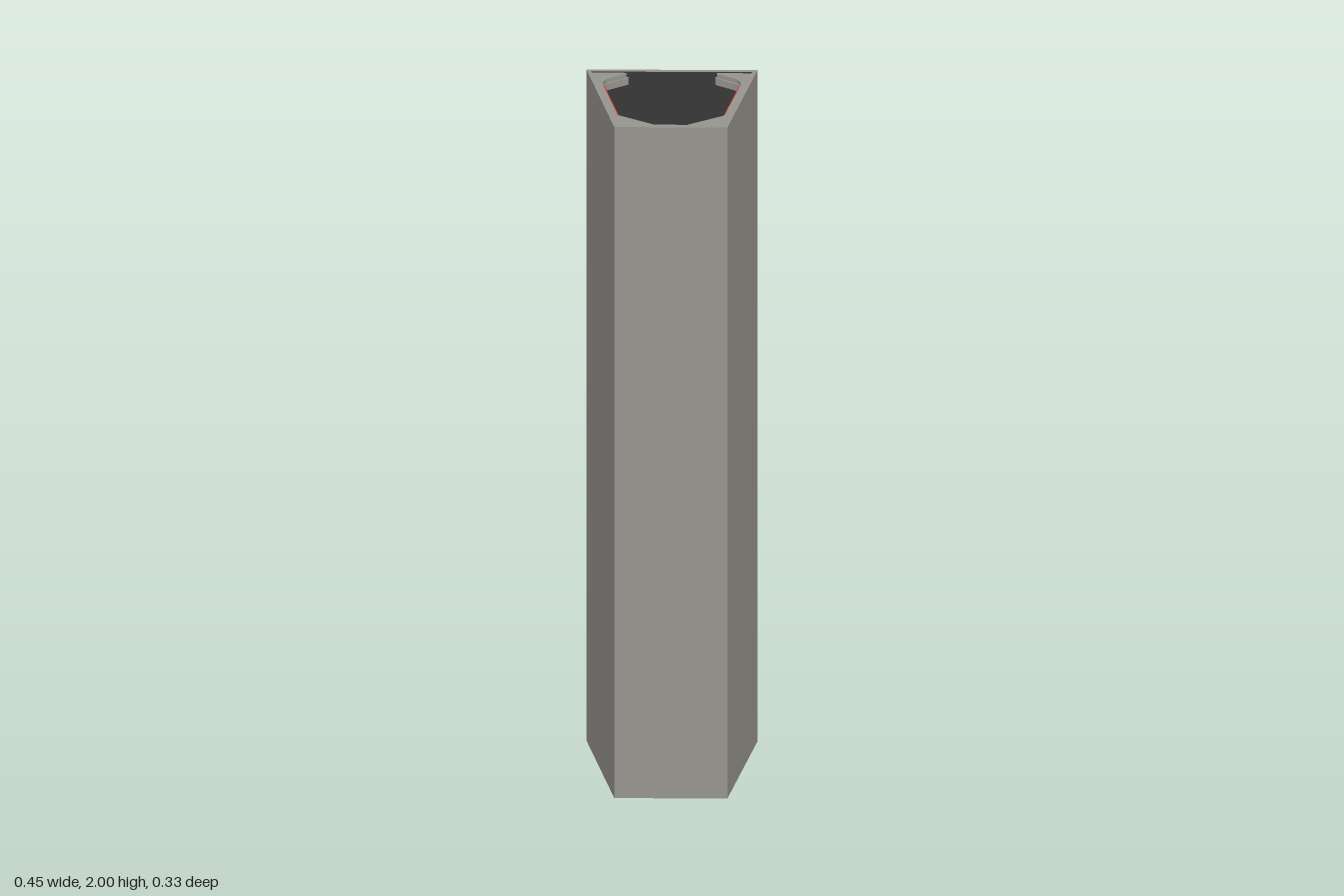
import * as THREE from 'three';

const grey = new THREE.MeshStandardMaterial({ color: 0x97958f, side: THREE.DoubleSide });
const dark = new THREE.MeshStandardMaterial({ color: 0x383838 });
const red = new THREE.MeshStandardMaterial({ color: 0xe03020 });
const H = 2, D = 0.167, WALL = 0.01;

// Trapezoid plan (x, z) inset by t from the outer faces, running back right to front right to front left
function trapezoid(t) {
  const xAt = z => 0.1885 - 0.2305 * z - 1.027 * t;
  const b = -D + t, f = D - t;
  return [[xAt(b), b], [xAt(f), f], [-xAt(f), f], [-xAt(b), b]];
}

// Bracket opening, widened by o (less on the straight sides), from the back right hook round to the back left hook
function opening(o) {
  const arc = new THREE.QuadraticBezierCurve(
    new THREE.Vector2(0.162 + o, -0.122 - o / 2),
    new THREE.Vector2(0.186 + o / 5, -0.108 - o / 2),
    new THREE.Vector2(0.181 + o / 5, -0.085));
  const half = [
    [0.115 + o, -D + WALL], [0.115 + o, -0.15 - o / 3],
    ...arc.getPoints(8).map(p => [p.x, p.y]),
    [0.141 + o / 5, 0.086 + o / 2], [0.042 + o / 3, 0.139 + o],
  ];
  return [...half, ...half.map(([x, z]) => [-x, z]).reverse()];
}

const toPoints = list => list.map(([x, z]) => new THREE.Vector2(x, z));

// Extrude a plan shape downwards from the height top
function slab(name, shape, top, depth) {
  const geometry = new THREE.ExtrudeGeometry(shape, { depth, bevelEnabled: false });
  geometry.rotateX(Math.PI / 2).translate(0, top, 0);
  const mesh = new THREE.Mesh(geometry, grey);
  mesh.name = name;
  return mesh;
}

// Horseshoe plate: touches the walls on three sides and hooks round at the back
function bracketShape(o) {
  return new THREE.Shape(toPoints([...trapezoid(WALL), ...opening(o).reverse()]));
}

// End fitting with its outer side facing up, its top at y = 0
function endFitting() {
  const group = new THREE.Group();
  // Stepped rim along the sides and front
  const rim = new THREE.Shape(toPoints([...trapezoid(WALL), ...trapezoid(0.015).reverse()]));
  group.add(slab('rimStep', rim, -0.002, 0.004));
  group.add(slab('bracketPlate', bracketShape(0.005), -0.004, 0.012));
  group.add(slab('bracketLip', bracketShape(0), -0.016, 0.02));
  // Thin red seals on the straight inner edges
  for (const s of [-1, 1]) {
    for (const y of [-0.009, -0.03]) {
      const seal = new THREE.Mesh(new THREE.BoxGeometry(0.003, 0.008, 0.172), red);
      seal.name = 'sealStrip';
      seal.position.set(s * 0.161, y, 0);
      seal.rotation.y = s * Math.atan2(-0.04, 0.171);
      group.add(seal);
    }
  }
  return group;
}

export function createModel() {
  const model = new THREE.Group();
  model.name = 'hollowColumn';

  // Thin-walled outer tube
  const wall = new THREE.Shape(toPoints(trapezoid(0)));
  wall.holes.push(new THREE.Path(toPoints(trapezoid(WALL).reverse())));
  model.add(slab('columnWall', wall, H, H));

  // Dark lining on the inside of the back wall
  const lining = new THREE.Mesh(new THREE.BoxGeometry(0.43, H - 0.002, 0.001), dark);
  lining.name = 'backLining';
  lining.position.set(0, H / 2, -D + WALL);
  model.add(lining);

  // Matching fittings in both ends
  const top = endFitting();
  top.name = 'topFitting';
  top.position.y = H;
  const bottom = endFitting();
  bottom.name = 'bottomFitting';
  bottom.scale.y = -1;
  model.add(top, bottom);
  return model;
}
